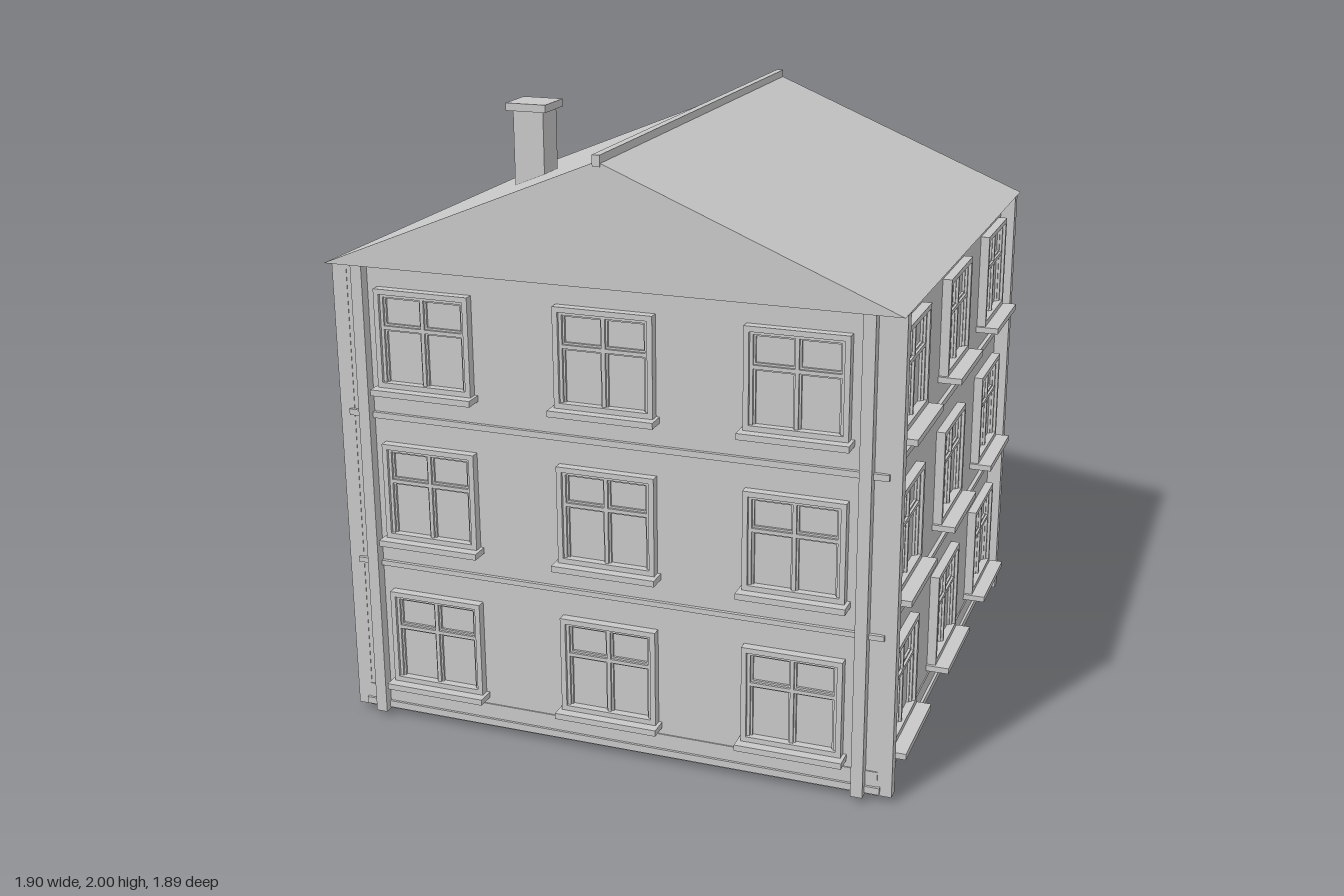
import * as THREE from 'three';

const HX = 0.873, HZ = 0.8375;          // half width and half depth of the walls
const BASE = 0.02, EAVE = 1.56, RIDGE = 1.94;
const FLOORS = [0.122, 0.635, 1.147];   // underside of the sills on each storey
const STEP = 0.605;                     // distance between window axes

export function createModel() {
  const plaster = new THREE.MeshStandardMaterial({ color: 0xc8c8c8 });
  plaster.name = 'light grey plaster';

  const mesh = (name, geometry, parent) => {
    const m = new THREE.Mesh(geometry, plaster);
    m.name = name;
    parent.add(m);
    return m;
  };
  // Box given by its lower and upper limits on each axis
  const box = (name, parent, x0, x1, y0, y1, z0, z1) => {
    const m = mesh(name, new THREE.BoxGeometry(x1 - x0, y1 - y0, z1 - z0), parent);
    m.position.set((x0 + x1) / 2, (y0 + y1) / 2, (z0 + z1) / 2);
    return m;
  };
  // Rectangular frame with an open centre
  const frame = (name, parent, x0, x1, y0, y1, t, depth) => {
    const rect = (C, a, b, c, d) => {
      const p = new C();
      p.moveTo(a, c); p.lineTo(b, c); p.lineTo(b, d); p.lineTo(a, d); p.closePath();
      return p;
    };
    const shape = rect(THREE.Shape, x0, x1, y0, y1);
    shape.holes.push(rect(THREE.Path, x0 + t, x1 - t, y0 + t, y1 - t));
    return mesh(name, new THREE.ExtrudeGeometry(shape, { depth, bevelEnabled: false }), parent);
  };

  const addWindow = (wall, x, y, sillDepth) => {
    const g = new THREE.Group();
    g.name = 'window';
    g.position.set(x, y, 0);
    wall.add(g);
    box('sill', g, -0.172, 0.172, 0, 0.02, 0, sillDepth);
    frame('windowFrame', g, -0.161, 0.161, 0.02, 0.341, 0.017, 0.03);
    frame('sash', g, -0.144, 0.144, 0.02, 0.324, 0.01, 0.02);
    box('mullion', g, -0.006, 0.006, 0.03, 0.314, 0, 0.02);
    box('transom', g, -0.134, 0.134, 0.209, 0.221, 0, 0.02);
    // four slim pane surrounds
    for (const s of [-1, 1]) for (const [a, b] of [[0.03, 0.209], [0.221, 0.314]]) {
      frame('paneSurround', g, s * 0.07 - 0.064, s * 0.07 + 0.064, a, b, 0.006, 0.012);
    }
    box('glass', g, -0.134, 0.134, 0.03, 0.314, 0, 0.004);
  };

  const addBalcony = (wall, x, y0, slabTop, top) => {
    const g = new THREE.Group();
    g.name = 'balcony';
    g.position.x = x;
    wall.add(g);
    const w = 0.215, d = 0.155;
    box('balconySlab', g, -w, w, y0, slabTop, 0, d);
    for (const s of [-1, 1]) {
      box('balconySide', g, s * (w - 0.0075) - 0.0075, s * (w - 0.0075) + 0.0075, slabTop, top, 0.03, d);
    }
    box('handrail', g, -w + 0.015, w - 0.015, top - 0.018, top, d - 0.018, d);
    for (let i = 1; i < 9; i++) {
      const bx = -w + (2 * w * i) / 9;
      box('baluster', g, bx - 0.006, bx + 0.006, slabTop, top - 0.018, d - 0.015, d - 0.003);
    }
  };

  const model = new THREE.Group();
  model.name = 'house';
  const house = new THREE.Group();
  house.name = 'building';
  house.position.z = 0.0475;
  model.add(house);

  // Walls, plinth and storey bands
  box('walls', house, -HX, HX, BASE, EAVE, -HZ, HZ);
  box('plinth', house, -HX - 0.004, HX + 0.004, BASE, 0.1, -HZ - 0.004, HZ + 0.004);
  for (const [a, b] of [[0.027, 0.05], [0.545, 0.562], [1.055, 1.075]]) {
    box('storeyBand', house, -HX - 0.013, HX + 0.013, a, b, -HZ - 0.012, HZ + 0.012);
  }

  // Four facades, each built facing +z and turned into place
  const facades = ['front', 'left', 'back', 'right'].map((name, i) => {
    const side = i % 2 === 1;
    const wall = new THREE.Group();
    wall.name = name + 'Facade';
    wall.rotation.y = (i * Math.PI) / 2;
    wall.position.set(side ? (2 - i) * HX : 0, 0, side ? 0 : (1 - i) * HZ);
    house.add(wall);
    for (const s of [-1, 1]) {
      const c = s * (side ? HZ - 0.0175 : 0.82);
      box('pilaster', wall, c - 0.019, c + 0.019, BASE, EAVE, 0, side ? 0.05 : 0.035);
    }
    for (const y of FLOORS) for (const k of [-1, 0, 1]) {
      if (name === 'back' && k === 0 && y === FLOORS[0]) continue;   // entrance bay
      addWindow(wall, k * STEP, y, side ? 0.077 : 0.062);
    }
    return wall;
  });

  // Entrance and balconies on the back
  const back = facades[2];
  frame('doorFrame', back, -0.16, 0.16, BASE, 0.495, 0.018, 0.032);
  box('door', back, -0.142, 0.142, BASE, 0.477, 0, 0.014);
  box('doorStep', back, -0.152, 0.152, 0, BASE, -0.005, 0.036);
  for (const s of [-1, 1]) {
    addBalcony(back, s * 0.6, 0.54, 0.577, 0.715);
    addBalcony(back, s * 0.6, 1.055, 1.087, 1.23);
  }

  // Gable roof and ridge cap
  const gable = new THREE.Shape();
  gable.moveTo(-0.925, EAVE);
  gable.lineTo(0.925, EAVE);
  gable.lineTo(0, RIDGE);
  gable.closePath();
  const roof = mesh('roof', new THREE.ExtrudeGeometry(gable, { depth: 1.77, bevelEnabled: false }), model);
  roof.position.z = -0.84;
  box('ridgeCap', model, -0.012, 0.012, 1.925, 1.96, -0.842, 0.935);

  // Chimney
  box('chimney', model, -0.515, -0.41, 1.7, 1.976, 0.292, 0.397);
  box('chimneyCap', model, -0.533, -0.394, 1.975, 2.0, 0.275, 0.414);

  return model;
}
